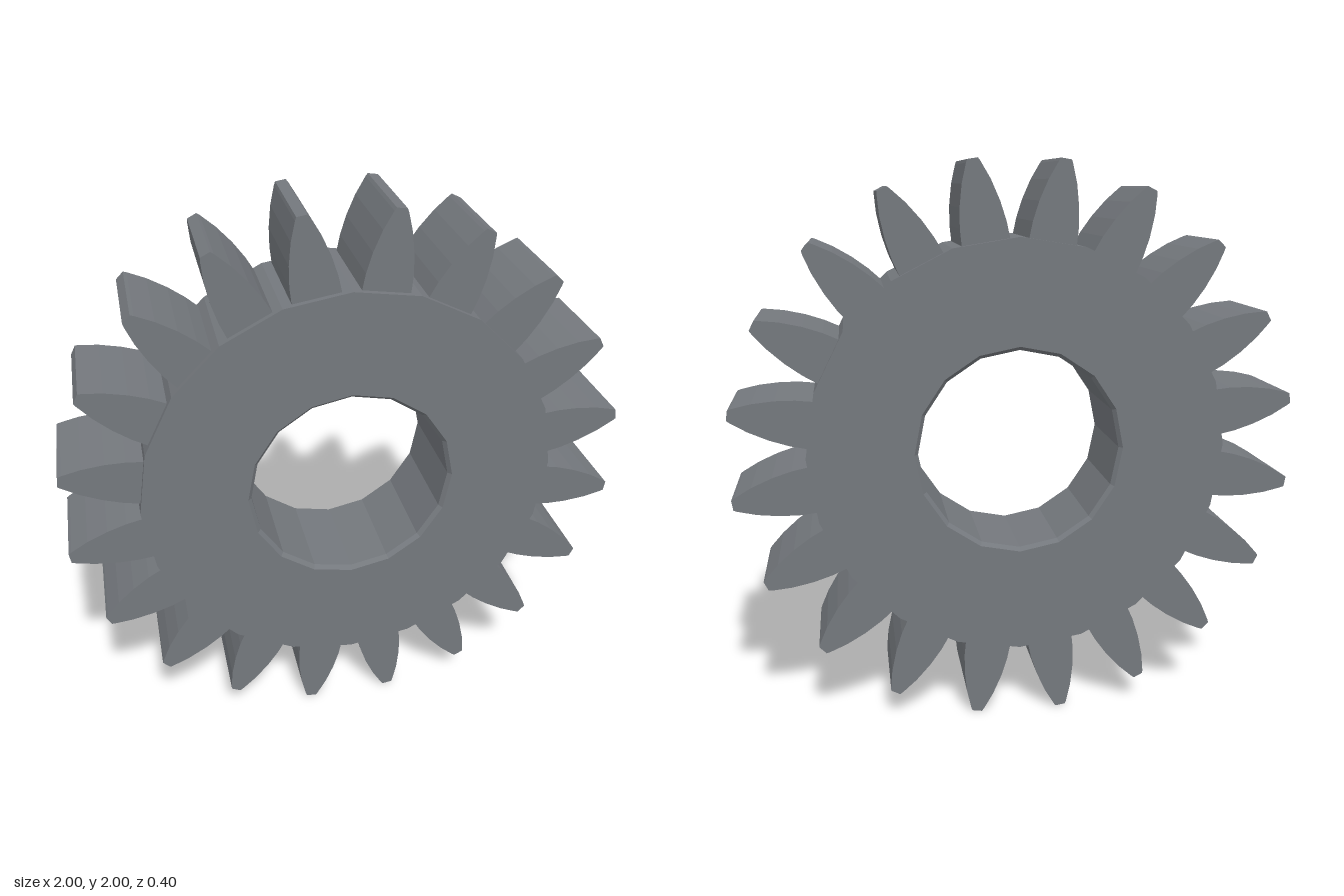
import * as THREE from 'three';

const TEETH = 20;
const BORE_SIDES = 16;
const HUB_R = 0.742;
const BORE_R = 0.358;
const BORE_EDGE_R = 0.371;
const HUB_HALF = 0.2;
const TOOTH_HALF = 0.18;

const material = new THREE.MeshStandardMaterial({ color: 0x74787d, flatShading: true });

function add(parent, name, geometry) {
  const mesh = new THREE.Mesh(geometry, material);
  mesh.name = name;
  parent.add(mesh);
  return mesh;
}

// Corners of a regular polygon, the first one straight up
function polygon(radius, sides) {
  return Array.from({ length: sides }, (_, i) => {
    const a = Math.PI / 2 + (i / sides) * Math.PI * 2;
    return new THREE.Vector2(radius * Math.cos(a), radius * Math.sin(a));
  });
}

// Faceted band around the z axis from [radius, z] points
function band(points, sides) {
  const profile = points.map(([r, z]) => new THREE.Vector2(r, z));
  return new THREE.LatheGeometry(profile, sides).rotateX(Math.PI / 2);
}

// Tapered, curved tooth pointing up +y, rooted inside the hub
function toothGeometry() {
  const side = [[0.084, 0.715], [0.08, 0.79], [0.069, 0.86], [0.049, 0.935], [0.024, 0.998], [0.018, 1.009]];
  const outline = [
    ...side.map(([w, r]) => new THREE.Vector2(w, r)),
    ...side.map(([w, r]) => new THREE.Vector2(-w, r)).reverse(),
  ];
  const geometry = new THREE.ExtrudeGeometry(new THREE.Shape(outline), {
    depth: TOOTH_HALF * 2,
    bevelEnabled: false,
  });
  return geometry.translate(0, 0, -TOOTH_HALF);
}

export function createModel() {
  const gear = new THREE.Group();
  gear.name = 'gear';
  gear.position.y = 1;

  // Hub: two ring faces, outer rim and chamfered bore
  const hub = new THREE.Group();
  hub.name = 'hub';
  gear.add(hub);
  const ring = new THREE.Shape(polygon(HUB_R, TEETH));
  ring.holes.push(new THREE.Path(polygon(BORE_EDGE_R, BORE_SIDES)));
  const face = new THREE.ShapeGeometry(ring);
  add(hub, 'frontFace', face).position.z = HUB_HALF;
  const back = add(hub, 'backFace', face);
  back.position.z = -HUB_HALF;
  back.rotation.y = Math.PI;
  add(hub, 'rim', band([[HUB_R, -HUB_HALF], [HUB_R, HUB_HALF]], TEETH));
  add(hub, 'bore', band([
    [BORE_EDGE_R, HUB_HALF], [BORE_R, HUB_HALF - 0.015],
    [BORE_R, -HUB_HALF + 0.015], [BORE_EDGE_R, -HUB_HALF],
  ], BORE_SIDES));

  // Teeth, one in the middle of each rim facet
  const teeth = new THREE.Group();
  teeth.name = 'teeth';
  gear.add(teeth);
  const tooth = toothGeometry();
  for (let i = 0; i < TEETH; i++) {
    add(teeth, 'tooth', tooth).rotation.z = ((i + 0.5) / TEETH) * Math.PI * 2;
  }

  const model = new THREE.Group();
  model.name = 'spurGear';
  model.add(gear);
  return model;
}
